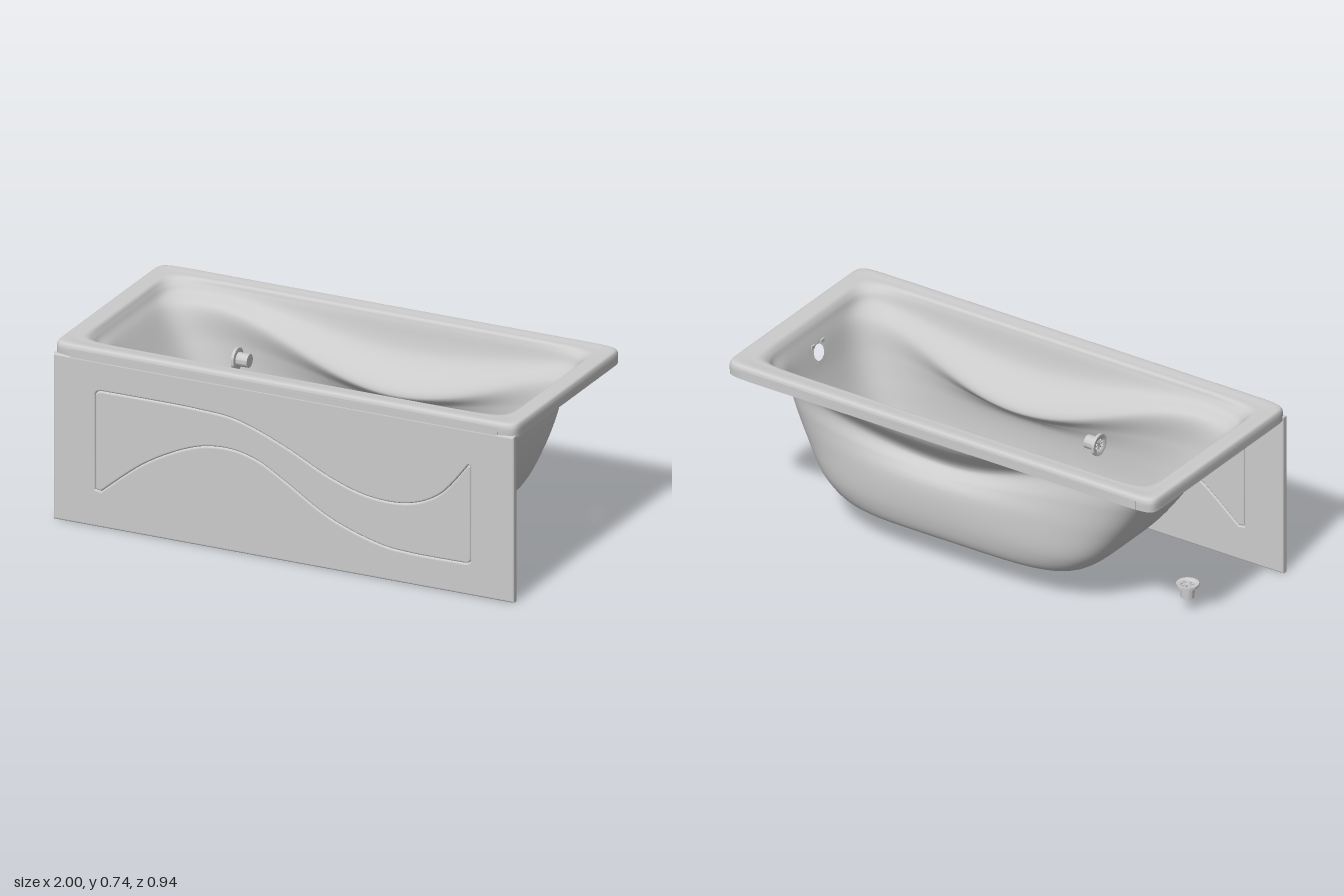
import * as THREE from 'three';
import { toCreasedNormals } from 'three/addons/utils/BufferGeometryUtils.js';

const grey = new THREE.MeshStandardMaterial({ color: 0xcccccc, side: THREE.DoubleSide });

function add(parent, name, geometry, x = 0, y = 0, z = 0) {
  const mesh = new THREE.Mesh(geometry, grey);
  mesh.name = name;
  mesh.position.set(x, y, z);
  parent.add(mesh);
  return mesh;
}

// Rings from the rim's outer skirt down to the drain: xMin, xMax, half depth, y, squareness, sag, waist
const RINGS = [
  [-1, 1, 0.468, 0.68, 30, 0, 0],
  [-1, 1, 0.468, 0.722, 30, 0, 0],
  [-0.993, 0.993, 0.461, 0.735, 30, 0, 0],
  [-0.95, 0.95, 0.415, 0.735, 22, 0, 0],
  [-0.925, 0.925, 0.39, 0.731, 14, 0, 0],
  [-0.912, 0.91, 0.382, 0.712, 10, 0, 0],
  [-0.9, 0.9, 0.37, 0.69, 9, 0.09, 0.04],
  [-0.875, 0.885, 0.335, 0.655, 6.5, 0.2, 0.25],
  [-0.8, 0.855, 0.328, 0.52, 5.5, 0.1, 0.12],
  [-0.71, 0.81, 0.324, 0.38, 5, 0, 0.03],
  [-0.59, 0.73, 0.313, 0.23, 5, 0, 0],
  [-0.49, 0.65, 0.284, 0.145, 4.5, 0, 0],
  [-0.41, 0.57, 0.245, 0.121, 4.5, 0, 0],
  [-0.32, 0.53, 0.2, 0.119, 4, 0, 0],
  [0.2, 0.53, 0.09, 0.119, 3, 0, 0],
  [0.42, 0.5, 0.04, 0.119, 2, 0, 0],
];
const LAST = RINGS.length - 1;

// Smooth bump along x, peaking at x = 0.13, with its own reach to each end
function bump(x, reachLeft, reachRight) {
  const t = Math.min(1, Math.abs(x - 0.13) / (x > 0.13 ? reachRight : reachLeft));
  return Math.cos(t * Math.PI / 2) ** 2;
}

// Profile curve at u: 0-1 is the +x side, 1-2 +z, 2-3 -x, 3-4 -z
function profile(u) {
  const side = Math.floor(u) % 4;
  const a = Math.sin(Math.PI * (u - Math.floor(u) - 0.5));
  const [p, q] = [[1, a], [-a, 1], [-1, -a], [a, -1]][side];
  return new THREE.CatmullRomCurve3(RINGS.map(([x0, x1, hz, y, n, sag, waist]) => {
    const k = (Math.abs(p) ** n + Math.abs(q) ** n) ** (-1 / n);
    const x = (x0 + x1) / 2 + (x1 - x0) / 2 * p * k;
    return new THREE.Vector3(x, y - sag * bump(x, 0.86, 0.95), hz * q * k * (1 - waist * bump(x, 1.15, 0.76)));
  }));
}

// Grid over part of the tub surface
function tubSurface(u0, u1, nu, v0, v1, nv, inset = 1, hole = null) {
  const pts = [], quads = [];
  for (let i = 0; i <= nu; i++) {
    const curve = profile(u0 + (u1 - u0) * i / nu);
    for (let j = 0; j <= nv; j++) {
      const pt = curve.getPoint((v0 + (v1 - v0) * j / nv) / LAST);
      pts.push(pt.multiply(new THREE.Vector3(inset, 1, inset)));
    }
  }
  const closed = u1 - u0 === 4;
  const kept = new Set(), cut = new Set();
  for (let i = 0; i < nu; i++) for (let j = 0; j < nv; j++) {
    const b = (closed ? (i + 1) % nu : i + 1) * (nv + 1) + j, a = i * (nv + 1) + j;
    const quad = [a, b, b + 1, a + 1];
    const mid = pts[a].clone().add(pts[b + 1]).multiplyScalar(0.5);
    const inHole = hole && mid.x > 0.7 && Math.hypot(mid.y - hole.y, mid.z) < hole.r;
    quad.forEach((k) => (inHole ? cut : kept).add(k));
    if (!inHole) quads.push(a, a + 1, b, b, a + 1, b + 1);
  }
  // Pull the edge of the hole onto a circle
  cut.forEach((k) => {
    if (!kept.has(k)) return;
    const d = Math.hypot(pts[k].y - hole.y, pts[k].z);
    pts[k].y = hole.y + (pts[k].y - hole.y) * hole.r / d;
    pts[k].z *= hole.r / d;
  });
  const geometry = new THREE.BufferGeometry().setFromPoints(pts);
  geometry.setIndex(quads);
  geometry.computeVertexNormals();
  return geometry;
}

// Closed wave outline of the apron panel
function waveOutline(shape) {
  const pts = (list) => list.map(([x, y]) => new THREE.Vector2(x, y));
  shape.moveTo(-0.815, 0.545);
  shape.quadraticCurveTo(-0.815, 0.567, -0.78, 0.567);
  shape.splineThru(pts([[-0.58, 0.568], [-0.38, 0.566], [-0.2, 0.55], [0, 0.478], [0.2, 0.383],
    [0.37, 0.333], [0.54, 0.335], [0.68, 0.4], [0.8, 0.54]]));
  shape.lineTo(0.81, 0.535);
  shape.lineTo(0.81, 0.15);
  shape.quadraticCurveTo(0.81, 0.13, 0.78, 0.13);
  shape.splineThru(pts([[0.55, 0.13], [0.4, 0.147], [0.2, 0.215], [0, 0.335], [-0.12, 0.4],
    [-0.25, 0.425], [-0.4, 0.4], [-0.6, 0.3], [-0.79, 0.15]]));
  shape.lineTo(-0.815, 0.155);
  shape.closePath();
  return shape;
}

// Slab with softly rounded edges
function bevelled(shape) {
  const bevel = 0.008;
  return toCreasedNormals(new THREE.ExtrudeGeometry(shape, {
    depth: 0.03 - 2 * bevel, bevelThickness: bevel, bevelSize: bevel, bevelOffset: -bevel,
    bevelSegments: 4, curveSegments: 10,
  }).translate(0, 0, bevel), 0.15);
}

// Flanged hollow fitting, flange on top at y = 0
function fitting(parent, name, x, y) {
  const group = new THREE.Group();
  group.name = name;
  group.position.set(x, y, 0);
  const outline = [[0, -0.03], [0.02, -0.03], [0.026, -0.004], [0.032, 0], [0.045, 0],
    [0.045, -0.011], [0.028, -0.012], [0.027, -0.06], [0, -0.06]];
  const body = new THREE.LatheGeometry(outline.map((p) => new THREE.Vector2(...p)), 32);
  add(group, 'fittingBody', toCreasedNormals(body, 0.7));
  for (let i = 0; i < 4; i++) {
    add(group, 'spoke', new THREE.BoxGeometry(0.048, 0.005, 0.005), 0, -0.008, 0).rotation.y = i * Math.PI / 4;
  }
  parent.add(group);
  return group;
}

export function createModel() {
  const model = new THREE.Group();
  model.name = 'bathtub';

  // Rim and basin as one smooth shell, with overflow and drain holes
  add(model, 'basin', tubSurface(0, 4, 256, 0, LAST, LAST * 12, 1, { y: 0.6, r: 0.033 }));

  // Flat bands around the rim, and small marks above the overflow
  for (const s of [-1, 1]) {
    add(model, 'rimBandLong', new THREE.BoxGeometry(1.85, 0.038, 0.003), 0, 0.701, s * 0.4675);
    add(model, 'rimBandShort', new THREE.BoxGeometry(0.003, 0.038, 0.77), s * 0.9985, 0.701, 0);
    add(model, 'overflowMark', new THREE.BoxGeometry(0.006, 0.015, 0.02), 0.883, 0.636, s * 0.032);
  }

  // Panels set on the inside walls
  add(model, 'headrestPanel', tubSurface(2.35, 2.65, 16, 7.05, 7.5, 6, 0.995));
  add(model, 'backPanel', tubSurface(2.42, 2.58, 10, 9.2, 9.45, 4, 0.995));
  for (const [u0, u1, mid] of [[1.485, 1.585, 1.5], [3.415, 3.515, 3.5]]) {
    add(model, 'gripStrip', tubSurface(mid - 0.155, mid + 0.155, 24, 5.05, 5.45, 4, 0.99));
    add(model, 'sidePanelTop', tubSurface(u0, u1, 8, 7.4, 8.2, 6, 0.99));
    add(model, 'sidePanelLower', tubSurface(u0 + 0.015, u1 - 0.015, 8, 8.2, 9.8, 10, 0.99));
  }

  // Non-slip ribs fanning over the floor
  for (let i = -6; i <= 6; i++) {
    const length = 0.22 - 0.06 * Math.abs(i % 2);
    const rib = add(model, 'floorRib', new THREE.BoxGeometry(length, 0.003, 0.008), -0.06, 0.122, i * 0.018);
    rib.rotation.y = i * 0.03;
  }
  for (const s of [-1, 1]) for (let i = 0; i < 4; i++) {
    const rib = add(model, 'floorRib', new THREE.BoxGeometry(0.24 - i * 0.03, 0.003, 0.008),
      0.17 + i * 0.012, 0.122, s * (0.1 - i * 0.013));
    rib.rotation.y = s * (0.1 + i * 0.02);
  }

  // Pointed non-slip ring around the drain
  const star = new THREE.Shape();
  for (let i = 0; i < 16; i++) {
    const angle = i * Math.PI / 8, r = i % 2 ? 0.055 : 0.07;
    const stretch = Math.cos(angle) < -0.3 ? 2.2 : 1;
    star[i ? 'lineTo' : 'moveTo'](r * Math.cos(angle) * stretch, r * Math.sin(angle) * (stretch > 1 ? 1.6 : 1.1));
  }
  star.closePath();
  star.holes.push(new THREE.Path().absarc(0, 0, 0.04, 0, Math.PI * 2, true));
  add(model, 'drainRing', new THREE.ShapeGeometry(star, 24), 0.46, 0.1225, 0).rotation.x = -Math.PI / 2;

  // Front apron with a wave-shaped panel outlined by a V groove
  const slab = new THREE.Shape();
  slab.moveTo(-0.997, 0);
  slab.lineTo(0.997, 0);
  slab.lineTo(0.997, 0.69);
  slab.lineTo(-0.997, 0.69);
  slab.closePath();
  slab.holes.push(waveOutline(new THREE.Path()));
  add(model, 'apron', bevelled(slab), 0, 0, 0.44);
  add(model, 'apronPanel', bevelled(waveOutline(new THREE.Shape())), 0, 0, 0.44);

  // Loose overflow and drain fittings
  fitting(model, 'overflowFitting', -0.44, 0.6).rotation.z = Math.PI / 2;
  fitting(model, 'drainFitting', -0.85, 0.118);

  return model;
}
